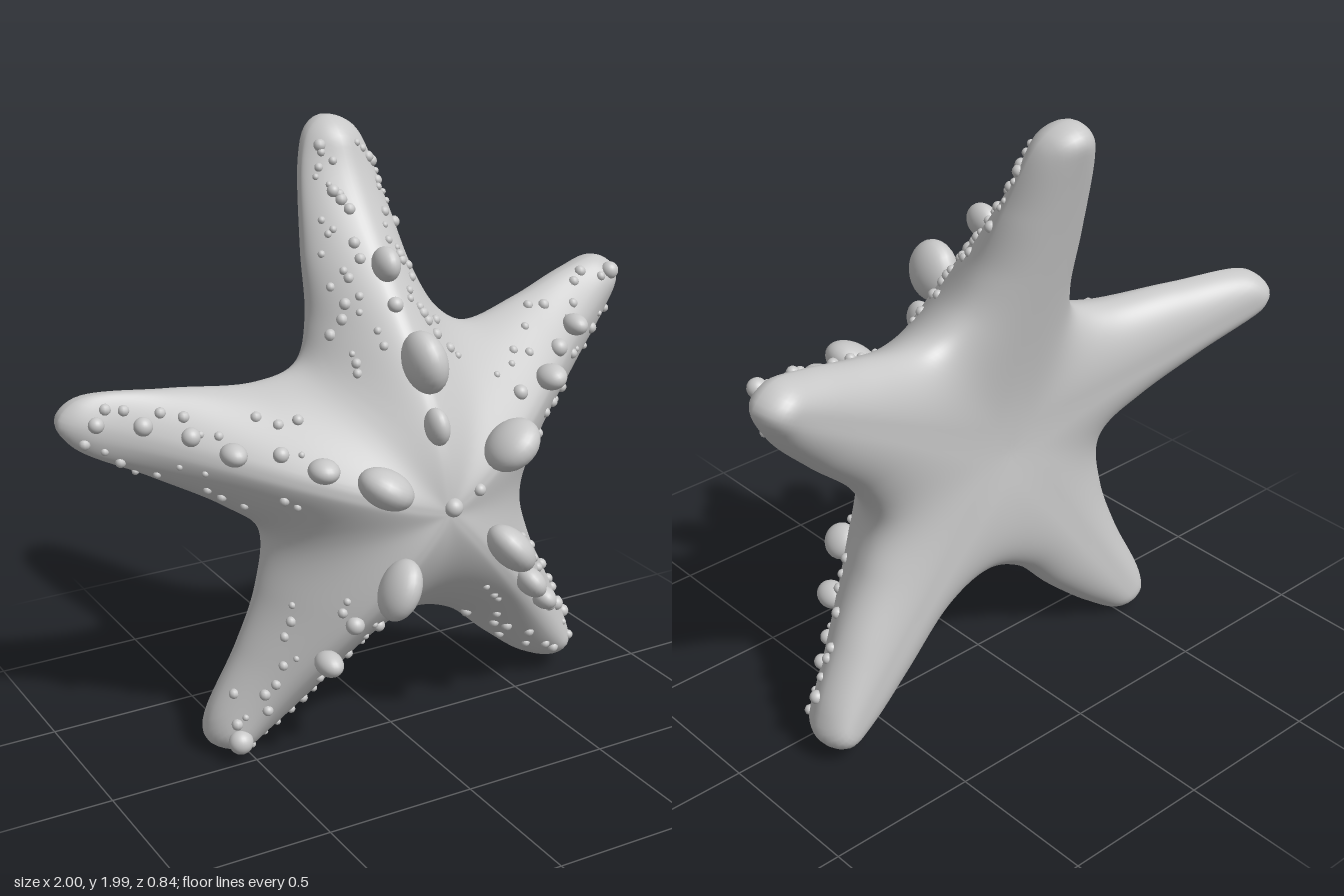
import * as THREE from 'three';

const grey = new THREE.MeshStandardMaterial({ color: 0xc8c8c8 });
grey.name = 'shell grey';

const V2 = (x, y) => new THREE.Vector2(x, y);
const { lerp, smoothstep } = THREE.MathUtils;
const centre = V2(0.03, 0.87);

// Outline of the star, clockwise from the top tip
const outlinePoints = [
  [-.04, 2], [.05, 1.96], [.12, 1.73], [.165, 1.53], [.23, 1.4], [.34, 1.33], [.57, 1.37], [.78, 1.43],
  [.925, 1.45], [.995, 1.39], [.94, 1.27], [.78, 1.10], [.59, .92], [.51, .77], [.55, .60], [.66, .385],
  [.76, .18], [.775, .09], [.71, .04], [.59, .08], [.43, .2], [.25, .35], [.07, .4], [-.09, .34],
  [-.235, .2], [-.40, .065], [-.51, .005], [-.615, .05], [-.615, .13], [-.51, .36], [-.44, .56], [-.42, .76],
  [-.53, .855], [-.74, .97], [-.96, 1.085], [-1, 1.16], [-.935, 1.23], [-.66, 1.24], [-.395, 1.235], [-.26, 1.28],
  [-.21, 1.4], [-.19, 1.61], [-.145, 1.88], [-.1, 1.97],
].map(([x, y]) => new THREE.Vector3(x, y, 0));
const outline = new THREE.CatmullRomCurve3(outlinePoints, true).getSpacedPoints(400).slice(0, 400);

// Arms: tip position, then depth of the ridge and of the back at the tip
const arms = [
  [-.03, 2.0, -.24, -.44], [.98, 1.41, -.11, -.3], [.76, .06, 0, -.22],
  [-.58, .02, 0, -.22], [-.99, 1.16, -.23, -.39],
].map(([x, y, front, back]) => {
  const axis = V2(x, y).sub(centre);
  const length = axis.length();
  return { dir: axis.normalize(), length, front, back };
});

// Distance from a point to the nearest outline segment
function edgeDistance(p) {
  let best = Infinity;
  for (let i = 0; i < outline.length; i++) {
    const a = outline[i], b = outline[(i + 1) % outline.length];
    const ex = b.x - a.x, ey = b.y - a.y;
    const k = THREE.MathUtils.clamp(((p.x - a.x) * ex + (p.y - a.y) * ey) / (ex * ex + ey * ey), 0, 1);
    best = Math.min(best, Math.hypot(p.x - a.x - k * ex, p.y - a.y - k * ey));
  }
  return best;
}

// Depth of the ridged front and the rounded back at a point
function depths(p) {
  const v = p.clone().sub(centre);
  let near = 0, sum = 0, tipFront = 0, tipBack = 0, length = 0;
  for (const arm of arms) {
    const along = THREE.MathUtils.clamp(v.dot(arm.dir), 0, arm.length - 0.08);
    const d = v.distanceTo(arm.dir.clone().multiplyScalar(along));
    const w = 1 / (d ** 3 + 0.003);
    near += 1 / (d ** 4 + 1e-7);
    sum += w; tipFront += w * arm.front; tipBack += w * arm.back; length += w * arm.length;
  }
  const axisDistance = near ** -0.25; // smooth minimum over the arms
  const u = Math.min(v.length() / (length / sum), 1);
  const edge = edgeDistance(p);
  const ridge = lerp(0.32, tipFront / sum, smoothstep(u ** 1.15, 0, 1));
  const base = lerp(-0.19, tipBack / sum, u ** 1.3);
  const rim = base + lerp(0.17, 0.1, u);
  const q = edge / (edge + axisDistance);
  const b = Math.min(q * 1.15, 1);
  return {
    front: rim + (ridge - rim) * (0.7 * Math.sqrt(q * (2 - q)) + 0.3 * q),
    back: rim + (base - rim) * Math.sqrt(b * (2 - b)),
  };
}

// Closed skin: rings from the front centre out to the rim and back in behind
function bodyGeometry() {
  const rings = 36, n = outline.length, positions = [], index = [];
  for (let j = 0; j <= 2 * rings; j++) {
    const t = Math.sin((j / (2 * rings)) * Math.PI);
    for (let i = 0; i < n; i++) {
      const p = centre.clone().lerp(V2(outline[i].x, outline[i].y), t);
      const z = depths(p);
      positions.push(p.x, p.y, j <= rings ? z.front : z.back);
    }
  }
  for (let j = 0; j < 2 * rings; j++) {
    for (let i = 0; i < n; i++) {
      const a = j * n + i, b = j * n + (i + 1) % n;
      if (j > 0) index.push(a, b, a + n);
      if (j < 2 * rings - 1) index.push(b, b + n, a + n);
    }
  }
  // The two centre rings become single fan points
  const last = 2 * rings * n;
  const welded = index.map((k) => (k < n ? 0 : k >= last ? last : k));
  const g = new THREE.BufferGeometry();
  g.setAttribute('position', new THREE.Float32BufferAttribute(positions, 3));
  g.setIndex(welded);
  g.computeVertexNormals();
  return g;
}

// Large knobs along the ridges: x, y, length, width, angle in degrees
const knobs = [
  [-.01, 1.34, .2, .125, 100], [-.01, 1.59, .11, .08, 90], [0, 1.15, .12, .07, 95],
  [-.2, 1.0, .18, .12, -30], [-.34, 1.04, .095, .075, 0], [-.56, 1.08, .08, .07, 0],
  [.245, 1.06, .19, .125, 40], [.515, 1.18, .095, .08, 20], [.7, 1.29, .075, .07, 0],
  [.25, .71, .19, .115, -50], [.41, .51, .12, .085, -55], [.52, .395, .09, .075, -45],
  [-.155, .66, .2, .11, 65], [-.32, .38, .085, .08, 0],
];
// Small knobs between them: x, y, size
const buttons = [
  [-.01, 1.475, .05], [-.43, 1.075, .05], [-.65, 1.12, .06], [-.77, 1.15, .06], [-.9, 1.16, .05],
  [.385, 1.155, .05], [.61, 1.235, .06], [.93, 1.41, .06], [.04, .89, .06], [.14, .925, .04],
  [.605, .315, .05], [.67, .28, .05], [.74, .21, .045], [-.245, .51, .06], [-.55, .08, .08],
  [-.14, .47, .04], [-.47, .19, .035], [-.35, 1.16, .035], [-.09, 1.79, .04],
];

export function createModel() {
  const model = new THREE.Group();
  model.name = 'starfish';
  const body = new THREE.Mesh(bodyGeometry(), grey);
  body.name = 'body';
  model.add(body);

  const knobShape = new THREE.SphereGeometry(1, 24, 16);
  const pimpleShape = new THREE.SphereGeometry(1, 10, 8);
  const addBump = (name, shape, x, y, lift, scale, angle = 0) => {
    const bump = new THREE.Mesh(shape, grey);
    bump.name = name;
    bump.position.set(x, y, depths(V2(x, y)).front + lift);
    bump.scale.set(...scale);
    bump.rotation.z = THREE.MathUtils.degToRad(angle);
    model.add(bump);
  };
  for (const [x, y, l, w, angle] of knobs) {
    addBump('knob', knobShape, x, y, w * w * 5, [l / 2, w / 2, w * 0.75], angle);
  }
  for (const [x, y, s] of buttons) {
    addBump('button', knobShape, x, y, 0, [s / 2, s / 2, s / 2]);
  }

  // Pimples spread along the front flanks of each arm, densest on the top arm
  let seed = 7;
  const random = () => (seed = (seed * 16807) % 2147483647) / 2147483647;
  arms.forEach((arm, k) => {
    const side = V2(-arm.dir.y, arm.dir.x);
    const count = k === 0 ? 56 : 24;
    for (let i = 0; i < count; i++) {
      const along = lerp(0.36, 0.94, (i + random()) / count) * arm.length;
      const spread = (i % 2 ? 1 : -1) * lerp(0.3, 1, random());
      const onAxis = centre.clone().addScaledVector(arm.dir, along);
      const half = Math.min(edgeDistance(onAxis), 0.2);
      const p = onAxis.addScaledVector(side, spread * half);
      const r = lerp(0.01, 0.02, random());
      addBump('pimple', pimpleShape, p.x, p.y, -r * 0.2, [r, r, r]);
    }
  });
  return model;
}
